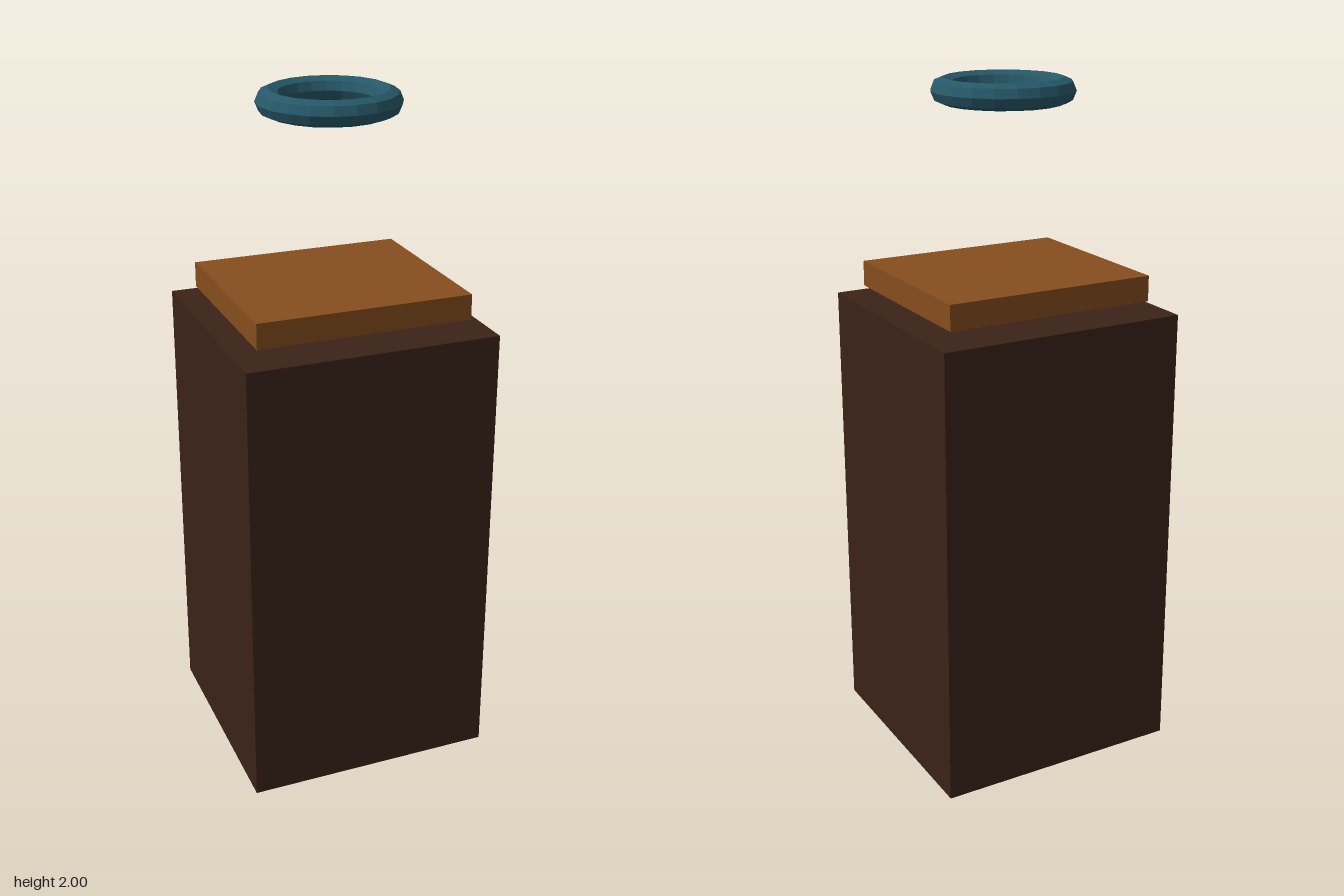
import * as THREE from 'three';

export function createModel() {
  const model = new THREE.Group();
  const add = (name, geometry, color, y) => {
    const material = new THREE.MeshStandardMaterial({ color, flatShading: true });
    const mesh = new THREE.Mesh(geometry, material);
    mesh.name = name;
    mesh.position.y = y;
    model.add(mesh);
    return mesh;
  };

  // Tall pedestal block standing on the ground
  add('pedestal', new THREE.BoxGeometry(0.74, 1.355, 0.695), 0x3b2218, 0.6775);

  // Thin slab floating just above the pedestal
  add('topSlab', new THREE.BoxGeometry(0.63, 0.074, 0.554), 0x854d1e, 1.423);

  // Faceted ring hovering flat over the slab
  const ring = add('floatingRing', new THREE.TorusGeometry(0.167, 0.036, 8, 20), 0x265868, 1.964);
  ring.rotation.x = Math.PI / 2;

  return model;
}
